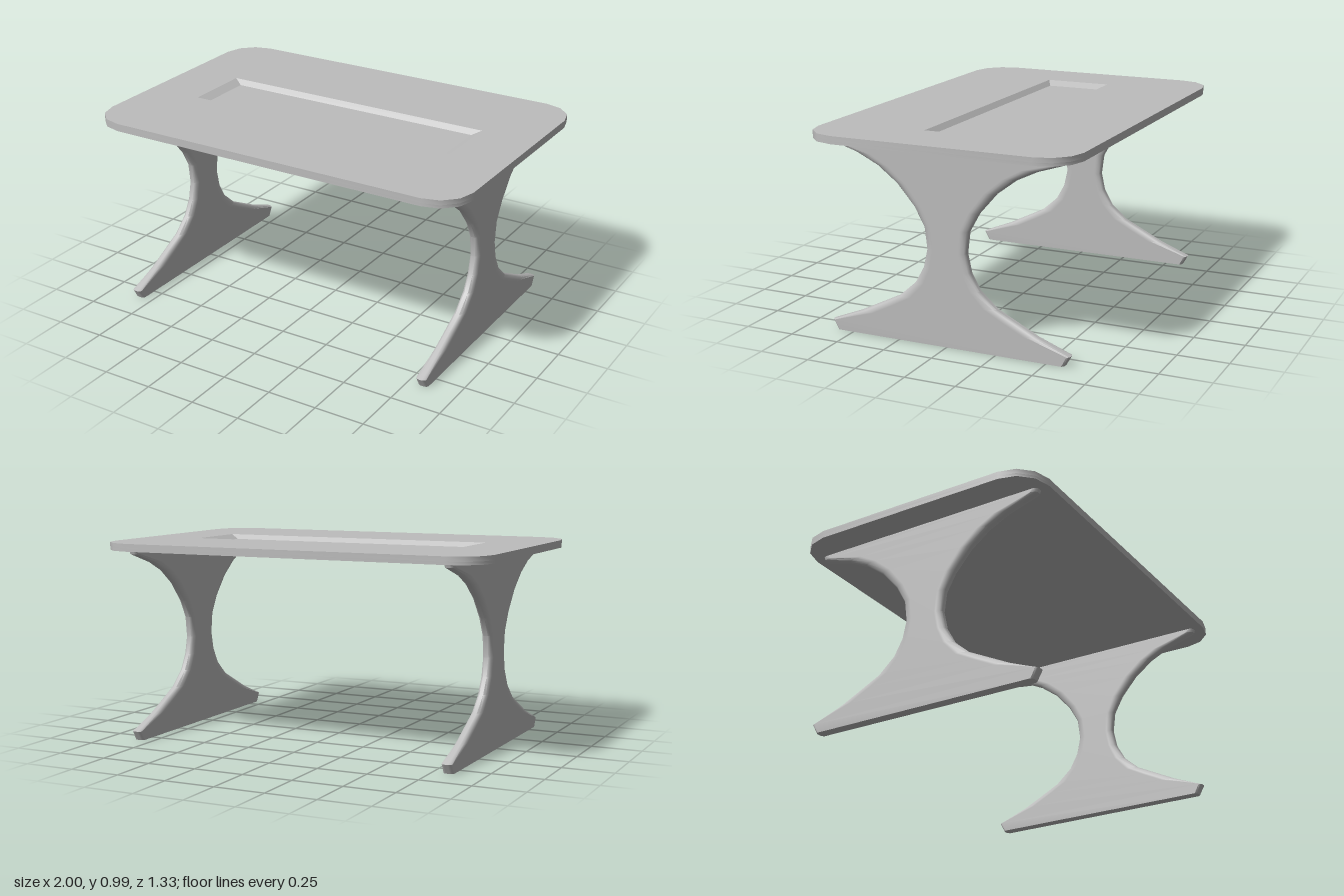
import * as THREE from 'three';
import { toCreasedNormals } from 'three/addons/utils/BufferGeometryUtils.js';

const TOP = 0.985, FLOOR = 0.962, UNDER = 0.947;

// Rectangle with rounded corners made of three straight facets each
function slabShape(w, d, r) {
  const pts = [];
  [[1, 1], [-1, 1], [-1, -1], [1, -1]].forEach(([sx, sy], q) => {
    for (let i = 0; i <= 3; i++) {
      const a = (q + i / 3) * Math.PI / 2;
      pts.push(new THREE.Vector2(sx * (w - r) + r * Math.cos(a), sy * (d - r) + r * Math.sin(a)));
    }
  });
  return new THREE.Shape(pts);
}

function slab(shape, y0, y1) {
  const geo = new THREE.ExtrudeGeometry(shape, { depth: y1 - y0, bevelEnabled: false });
  geo.rotateX(-Math.PI / 2);
  geo.translate(0, y0, 0);
  return toCreasedNormals(geo, 0.7);
}

function meshFrom(positions) {
  const geo = new THREE.BufferGeometry();
  geo.setAttribute('position', new THREE.Float32BufferAttribute(positions, 3));
  return toCreasedNormals(geo, 0.7);
}

// Sloping walls of the shallow tray
function trayWalls() {
  const corners = [[1, 1], [1, -1], [-1, -1], [-1, 1]];
  const outer = corners.map(([x, z]) => [x * 0.715, TOP, z * 0.17]);
  const inner = corners.map(([x, z]) => [x * 0.67, FLOOR, z * 0.145]);
  const pos = [];
  for (let i = 0; i < 4; i++) {
    const j = (i + 1) % 4;
    pos.push(...outer[i], ...outer[j], ...inner[j], ...outer[i], ...inner[j], ...inner[i]);
  }
  return meshFrom(pos);
}

// Hourglass leg: one rounded-edge ring per [height, half width, edge rounding]
function legGeometry() {
  const t = 0.026;
  const rows = [
    [0, 0.588, 0.012], [0.047, 0.615, 0.014], [0.11, 0.46, 0.05], [0.165, 0.35, 0.05],
    [0.215, 0.25, 0.045], [0.29, 0.165, 0.034], [0.37, 0.12, 0.028], [0.46, 0.1, 0.026],
    [0.565, 0.113, 0.028], [0.655, 0.163, 0.032], [0.755, 0.25, 0.038], [0.83, 0.35, 0.045],
    [0.88, 0.455, 0.055], [0.93, 0.61, 0.03], [UNDER, 0.615, 0.02],
  ];
  const rings = rows.map(([y, w, b]) => {
    const edge = [[t, w - 1.4 * b], [t, w - b], [0.75 * t, w - 0.3 * b], [0.35 * t, w]];
    const half = [...edge, ...edge.map(([x, z]) => [-x, z]).reverse()];
    return [...half, ...half.map(([x, z]) => [-x, -z])].map(([x, z]) => [x, y, z]);
  });
  const pos = [];
  const n = rings[0].length;
  for (let i = 0; i < rings.length - 1; i++) {
    for (let j = 0; j < n; j++) {
      const k = (j + 1) % n;
      const a = rings[i][j], b = rings[i][k], c = rings[i + 1][k], d = rings[i + 1][j];
      pos.push(...a, ...d, ...c, ...a, ...c, ...b);
    }
  }
  // Flat foot
  for (let j = 1; j < n - 2; j++) pos.push(...rings[0][0], ...rings[0][j], ...rings[0][j + 1]);
  return meshFrom(pos);
}

export function createModel() {
  const model = new THREE.Group();
  model.name = 'table';
  const grey = new THREE.MeshStandardMaterial({ color: 0xbdbdbd });
  grey.name = 'light grey';
  const add = (name, geo, parent = model) => {
    const mesh = new THREE.Mesh(geo, grey);
    mesh.name = name;
    parent.add(mesh);
    return mesh;
  };

  // Table top: solid lower layer, upper layer cut open for the tray
  const tableTop = new THREE.Group();
  tableTop.name = 'tableTop';
  model.add(tableTop);
  const upper = slabShape(1, 0.667, 0.17);
  upper.holes.push(new THREE.Path([[-0.715, -0.17], [-0.715, 0.17], [0.715, 0.17], [0.715, -0.17]]
    .map(([x, y]) => new THREE.Vector2(x, y))));
  add('lowerLayer', slab(slabShape(1, 0.667, 0.17), UNDER, FLOOR), tableTop);
  add('upperLayer', slab(upper, FLOOR, TOP), tableTop);
  add('trayWalls', trayWalls(), tableTop);

  // Legs
  const leg = legGeometry();
  add('leftLeg', leg).position.x = 0.826;
  add('rightLeg', leg).position.x = -0.826;
  return model;
}
